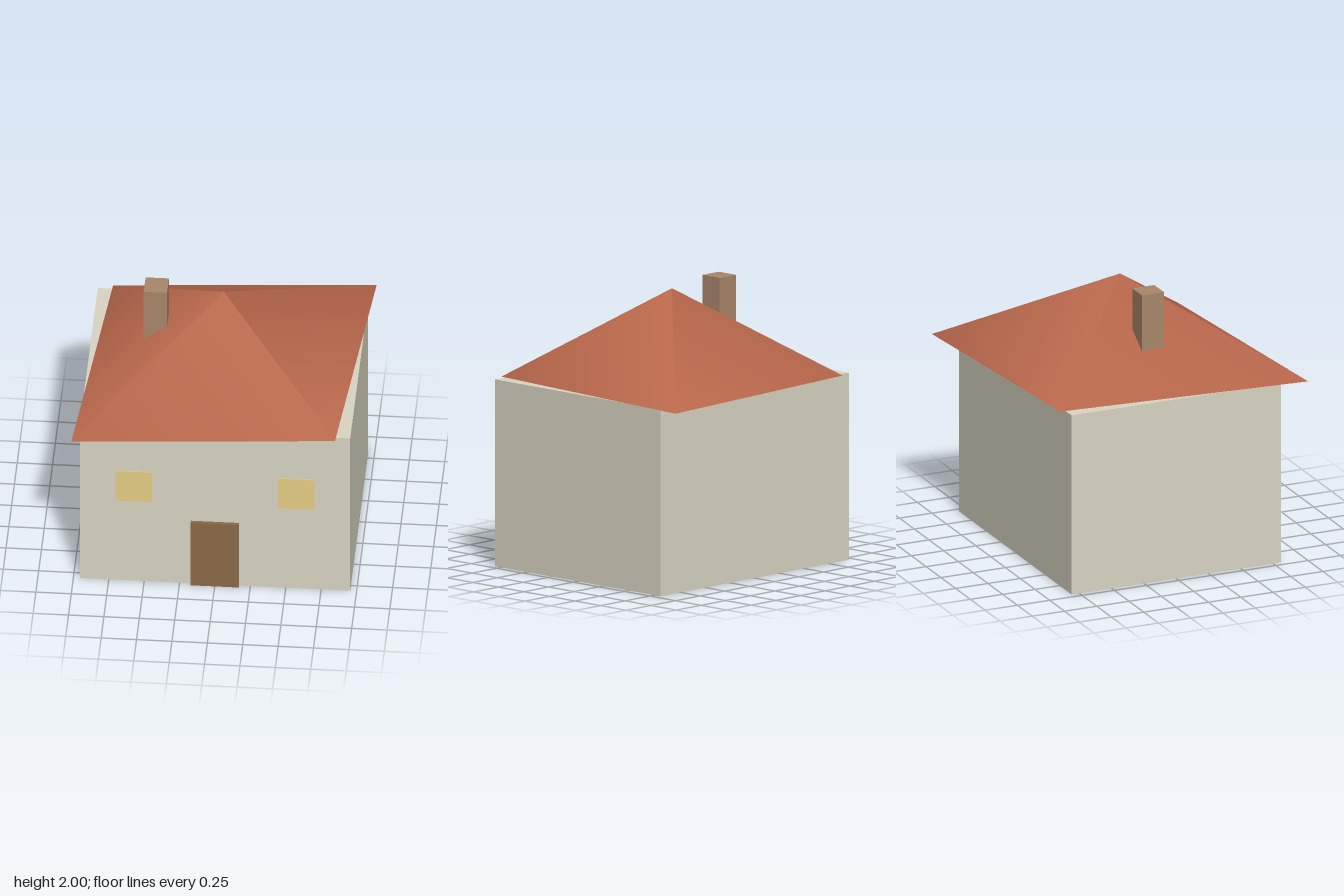
import * as THREE from 'three';

const paint = (color) => new THREE.MeshStandardMaterial({ color });

export function createModel() {
  const house = new THREE.Group();
  house.name = 'house';

  // Box standing on height y, centred on x and z
  function addBox(name, material, [w, h, d], [x, y, z]) {
    const mesh = new THREE.Mesh(new THREE.BoxGeometry(w, h, d), material);
    mesh.name = name;
    mesh.position.set(x, y + h / 2, z);
    house.add(mesh);
  }

  const wallHeight = 1.34;
  const halfDepth = 0.81;

  addBox('walls', paint(0xd9d4c3), [1.91, wallHeight, halfDepth * 2], [0, 0, 0]);
  addBox('door', paint(0x8a6a48), [0.34, 0.55, 0.05], [0, 0, halfDepth]);
  addBox('chimney', paint(0xa9866a), [0.165, 0.5, 0.17], [-0.478, 1.5, 0]);

  // Pair of front windows, almost flush with the wall
  const glass = paint(0xe6cd85);
  for (const side of [-1, 1]) {
    const name = side > 0 ? 'leftWindow' : 'rightWindow';
    addBox(name, glass, [0.258, 0.26, 0.01], [side * 0.573, 0.7, halfDepth]);
  }

  // Four-sided roof, stretched along one diagonal
  const roofHeight = 0.63;
  const roof = new THREE.Mesh(new THREE.ConeGeometry(1, roofHeight, 4), paint(0xb8674a));
  roof.name = 'roof';
  roof.scale.set(Math.SQRT2, 1, 0.85 * Math.SQRT2);
  roof.rotation.y = Math.PI / 4;
  roof.position.y = wallHeight + roofHeight / 2;
  house.add(roof);

  return house;
}
